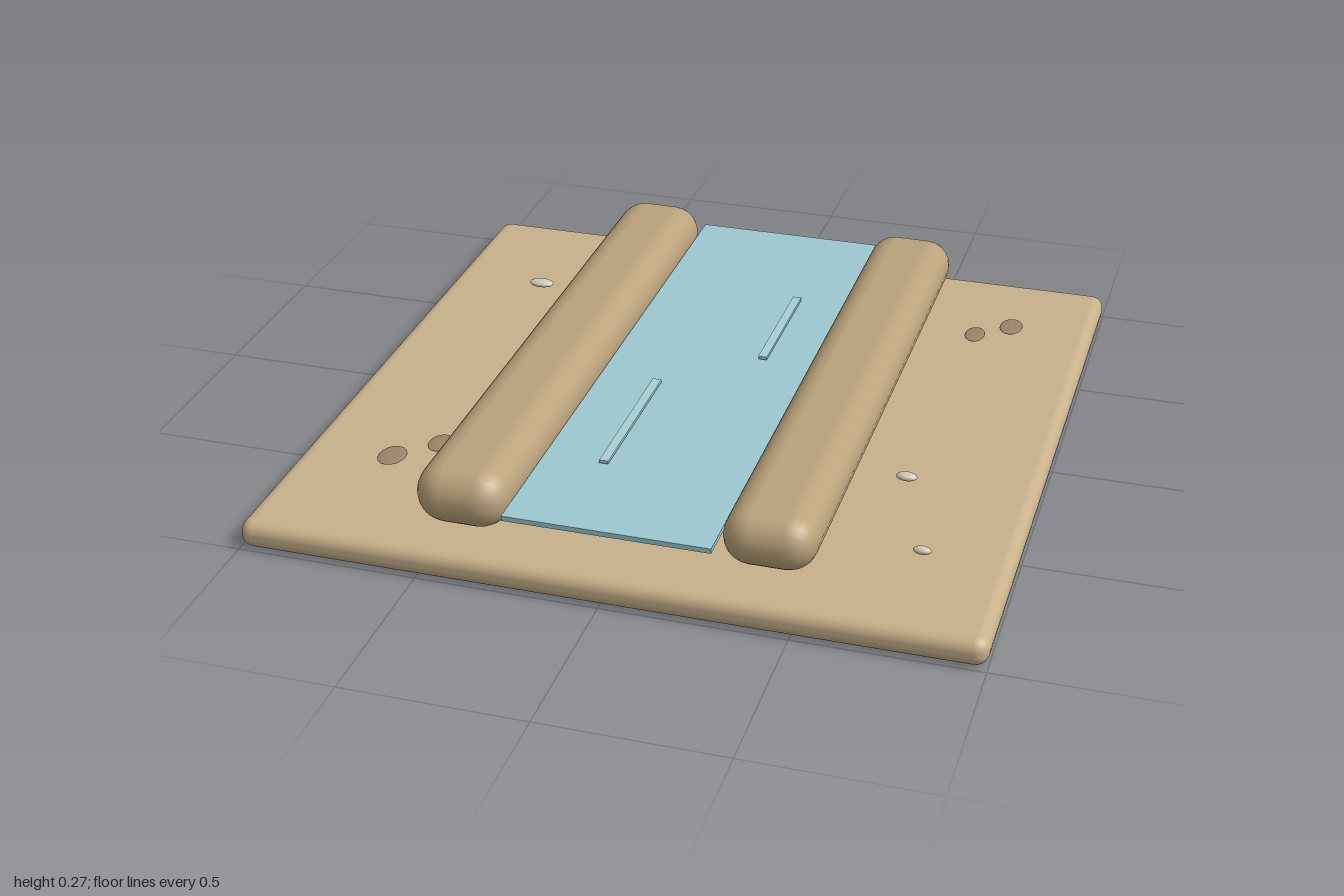
import * as THREE from 'three';
import { RoundedBoxGeometry } from 'three/addons/geometries/RoundedBoxGeometry.js';

const paint = (color) => new THREE.MeshStandardMaterial({ color });

export function createModel() {
  const model = new THREE.Group();
  const sand = paint(0xc8b08a);
  const bankSand = paint(0xbaa27b);
  const water = paint(0x9cc8d0);
  const foam = paint(0xa6d0d6);
  const footMark = paint(0x9c846a);
  const shell = paint(0xd2cab8);

  function add(name, geometry, material, x, y, z) {
    const mesh = new THREE.Mesh(geometry, material);
    mesh.name = name;
    mesh.position.set(x, y, z);
    model.add(mesh);
    return mesh;
  }

  // Ground slab with softened edges
  add('groundSlab', new RoundedBoxGeometry(2, 0.08, 2, 3, 0.036), sand, 0, 0.04, 0);

  // Raised banks on both sides of the channel
  add('rightBank', new RoundedBoxGeometry(0.256, 0.166, 1.852, 3, 0.082), bankSand, -0.412, 0.183, -0.002);
  add('leftBank', new RoundedBoxGeometry(0.248, 0.154, 1.814, 3, 0.076), bankSand, 0.409, 0.183, -0.002);

  // Water sheet and its two ripples
  add('water', new THREE.BoxGeometry(0.56, 0.014, 1.86), water, 0, 0.178, 0);
  for (const [x, z, length] of [[-0.11, 0.372, 0.475], [0.14, -0.278, 0.4]]) {
    add('ripple', new THREE.BoxGeometry(0.025, 0.009, length), foam, x, 0.193, z);
  }

  // Flattened ellipsoids: x, z, half width, half depth
  function ovals(name, material, y, halfHeight, list) {
    for (const [x, z, rx, rz] of list) {
      add(name, new THREE.SphereGeometry(1, 16, 10), material, x, y, z).scale.set(rx, halfHeight, rz);
    }
  }

  // Dark prints in pairs
  ovals('footprint', footMark, 0.1, 0.005, [
    [-0.73, 0.587, 0.039, 0.053],
    [-0.628, 0.487, 0.034, 0.048],
    [0.668, -0.575, 0.03, 0.048],
    [0.764, -0.655, 0.034, 0.052],
  ]);

  // Pale pebbles
  ovals('pebble', shell, 0.133, 0.011, [
    [-0.678, -0.48, 0.038, 0.023],
    [0.658, 0.357, 0.029, 0.018],
    [0.773, 0.706, 0.024, 0.014],
  ]);

  return model;
}
